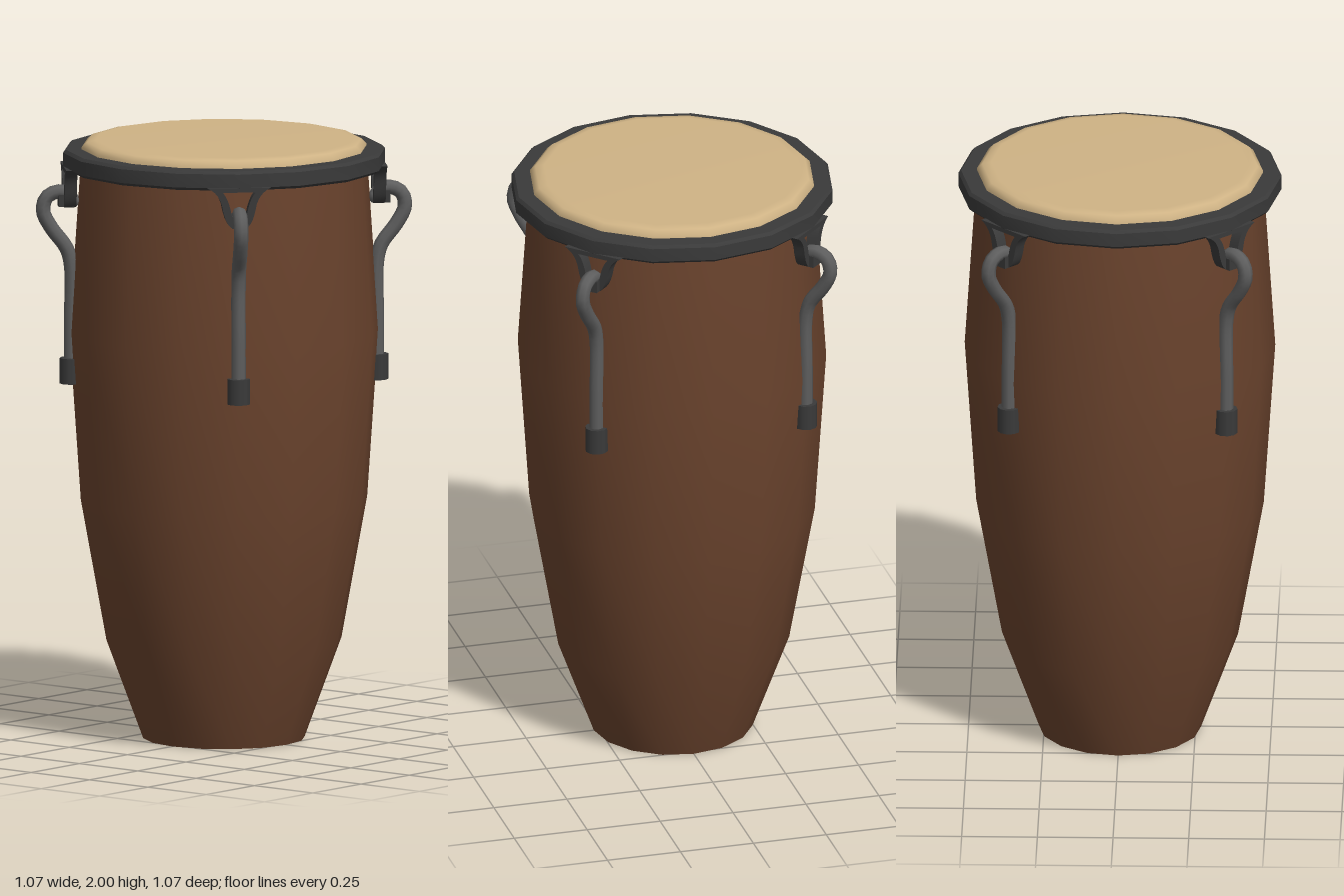
import * as THREE from 'three';
import { toCreasedNormals } from 'three/addons/utils/BufferGeometryUtils.js';

const SIDES = 16;

function mat(name, color) {
  const m = new THREE.MeshStandardMaterial({ color });
  m.name = name;
  return m;
}

function mesh(name, geometry, material) {
  const m = new THREE.Mesh(geometry, material);
  m.name = name;
  return m;
}

// Revolved part from [radius, height] pairs listed from bottom to top
function turned(points) {
  return new THREE.LatheGeometry(points.map(([r, y]) => new THREE.Vector2(r, y)), SIDES);
}

// Flared V-shaped lug plate with an opening for the hook
function bracketGeometry() {
  const s = new THREE.Shape();
  s.moveTo(-0.105, 1.915);
  s.quadraticCurveTo(-0.07, 1.9, -0.058, 1.86);
  s.quadraticCurveTo(-0.045, 1.785, -0.02, 1.78);
  s.lineTo(0.02, 1.78);
  s.quadraticCurveTo(0.045, 1.785, 0.058, 1.86);
  s.quadraticCurveTo(0.07, 1.9, 0.105, 1.915);
  s.closePath();
  const h = new THREE.Path();
  h.moveTo(-0.055, 1.9);
  h.lineTo(0.055, 1.9);
  h.quadraticCurveTo(0.035, 1.88, 0.025, 1.825);
  h.lineTo(-0.025, 1.825);
  h.quadraticCurveTo(-0.035, 1.88, -0.055, 1.9);
  s.holes.push(h);
  const g = new THREE.ExtrudeGeometry(s, { depth: 0.04, bevelEnabled: false, curveSegments: 5 });
  return toCreasedNormals(g.translate(0, 0, 0.493), 0.6);
}

// Bent rod: straight shank, outward bend and curl into the bracket
function hookGeometry() {
  const path = new THREE.CatmullRomCurve3([
    [1.22, 0.507], [1.4, 0.507], [1.58, 0.507], [1.64, 0.522], [1.71, 0.573], [1.765, 0.6],
    [1.81, 0.59], [1.83, 0.555], [1.825, 0.52], [1.8, 0.502],
  ].map(([y, z]) => new THREE.Vector3(0, y, z)));
  return new THREE.TubeGeometry(path, 36, 0.024, 8, false);
}

export function createModel() {
  const wood = mat('brown wood', 0x6a432d);
  const skin = mat('tan skin', 0xcfb385);
  const black = mat('black metal', 0x3a3a3a);
  const steel = mat('grey steel', 0x5e5e5e);

  const drum = new THREE.Group();
  drum.name = 'drum';

  // Tapered shell with a closed foot
  drum.add(mesh('shell', toCreasedNormals(turned([
    [0, 0], [0.268, 0], [0.39, 0.33], [0.475, 0.8], [0.513, 1.36], [0.475, 1.93],
  ]), 0.6), wood));

  // Playing surface with a softened edge
  drum.add(mesh('drumHead', turned([
    [0.472, 1.95], [0.472, 1.978], [0.455, 1.994], [0.425, 2], [0, 2],
  ]), skin));

  // Heavy hoop around the head
  drum.add(mesh('rim', toCreasedNormals(turned([
    [0.46, 1.905], [0.525, 1.905], [0.534, 1.914], [0.534, 1.96],
    [0.525, 1.97], [0.468, 1.97], [0.46, 1.905],
  ]), 0.6), black));

  // Four tuning hooks on the diagonals; local +z points away from the shell
  const bracketGeo = bracketGeometry();
  const hookGeo = hookGeometry();
  const capGeo = new THREE.CylinderGeometry(0.038, 0.038, 0.085, 10);
  const lipGeo = new THREE.BoxGeometry(0.05, 0.04, 0.05);
  const endGeo = new THREE.SphereGeometry(0.024, 8, 6);
  for (let i = 0; i < 4; i++) {
    const tuner = new THREE.Group();
    tuner.name = 'tuner' + (i + 1);
    tuner.rotation.y = Math.PI / 4 + (i * Math.PI) / 2;

    tuner.add(mesh('bracket', bracketGeo, black));
    const lip = mesh('bracketLip', lipGeo, black);
    lip.position.set(0, 1.802, 0.525);
    tuner.add(lip);

    tuner.add(mesh('hook', hookGeo, steel));
    const tip = mesh('hookTip', endGeo, steel);
    tip.position.set(0, 1.8, 0.502);
    tuner.add(tip);

    const cap = mesh('hookNut', capGeo, black);
    cap.position.set(0, 1.232, 0.507);
    tuner.add(cap);
    drum.add(tuner);
  }
  return drum;
}
